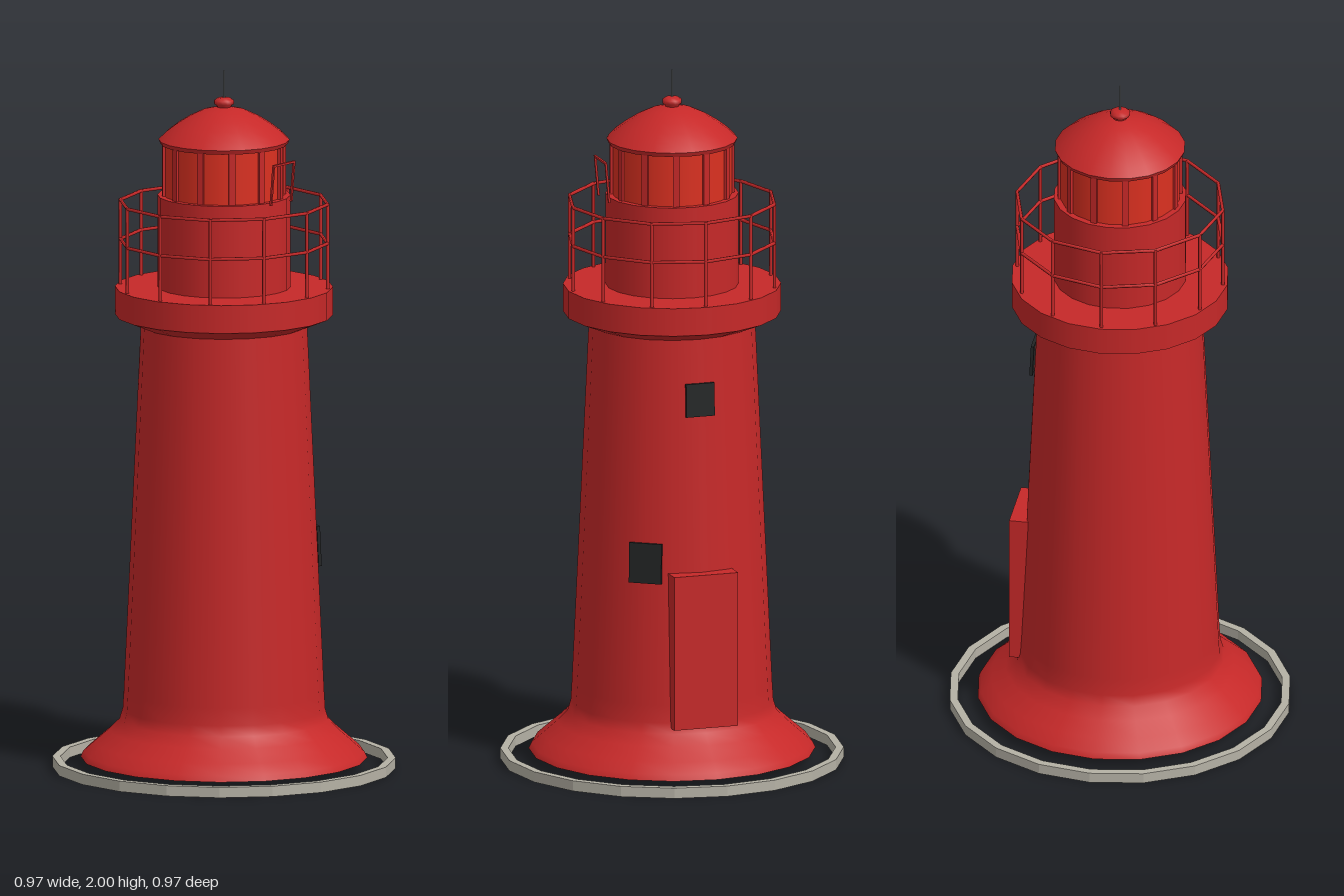
import * as THREE from 'three';

const SIDES = 20;

export function createModel() {
  const model = new THREE.Group();
  const mat = (name, color, side = THREE.FrontSide) => {
    const m = new THREE.MeshStandardMaterial({ color, side });
    m.name = name;
    return m;
  };
  const red = mat('red paint', 0xc62828, THREE.DoubleSide);
  const pane = mat('lantern glass', 0xdb3020);
  const dark = mat('window dark', 0x222424);
  const stone = mat('stone grey', 0xb5b1a5);
  const metal = mat('metal grey', 0x80858a);

  const add = (name, geo, material, parent = model) => {
    const mesh = new THREE.Mesh(geo, material);
    mesh.name = name;
    parent.add(mesh);
    return mesh;
  };
  const lathe = (pts, n = SIDES) =>
    new THREE.LatheGeometry(pts.map(([r, y]) => new THREE.Vector2(r, y)), n);
  const drum = (name, rTop, rBottom, y0, y1, material, n = SIDES, open = false) => {
    const mesh = add(name, new THREE.CylinderGeometry(rTop, rBottom, y1 - y0, n, 1, open), material);
    mesh.position.y = (y0 + y1) / 2;
    return mesh;
  };
  const group = (name) => {
    const g = new THREE.Group();
    g.name = name;
    model.add(g);
    return g;
  };

  // Ground ring, a square section swept round
  const ring = lathe([[0.462, 0], [0.485, 0], [0.485, 0.03], [0.462, 0.03], [0.462, 0]]).toNonIndexed();
  ring.computeVertexNormals();
  add('groundRing', ring, stone);

  // Tapered tower with a flared foot, open below
  add('tower', lathe([
    [0.405, 0.03], [0.397, 0.047], [0.365, 0.075], [0.325, 0.11],
    [0.295, 0.14], [0.286, 0.17], [0.283, 0.22], [0.235, 1.27],
  ]), red);

  // Gallery deck
  drum('galleryUnderside', 0.308, 0.235, 1.27, 1.3, red, SIDES, true);
  drum('galleryDeck', 0.308, 0.308, 1.3, 1.38, red);

  // Gallery railing: twelve posts and two rails
  const railing = group('railing');
  const railR = 0.295;
  for (let i = 0; i < 12; i++) {
    const a = (i / 12) * Math.PI * 2;
    const post = add('railPost', new THREE.CylinderGeometry(0.005, 0.005, 0.245, 6), red, railing);
    post.position.set(railR * Math.sin(a), 1.5025, railR * Math.cos(a));
  }
  for (const y of [1.51, 1.622]) {
    const rail = add('rail', new THREE.TorusGeometry(railR, 0.005, 6, 12), red, railing);
    rail.rotation.x = Math.PI / 2;
    rail.position.y = y;
  }

  // Lantern room
  drum('lanternBase', 0.188, 0.188, 1.38, 1.643, red);
  drum('lanternGlass', 0.17, 0.17, 1.643, 1.795, pane);
  const bars = group('lanternBars');
  for (let i = 0; i < 12; i++) {
    const a = ((i + 0.5) / 12) * Math.PI * 2;
    const bar = add('lanternBar', new THREE.BoxGeometry(0.018, 0.152, 0.014), red, bars);
    bar.position.set(0.169 * Math.sin(a), 1.719, 0.169 * Math.cos(a));
    bar.rotation.y = a;
  }

  // Domed roof, knob and rod
  drum('roofEave', 0.185, 0.18, 1.79, 1.802, red);
  add('roofDome', lathe([
    [0.185, 1.802], [0.165, 1.822], [0.135, 1.845], [0.1, 1.867], [0.06, 1.886], [0.02, 1.895], [0, 1.896],
  ]), red);
  add('roofKnob', lathe([
    [0.018, 1.885], [0.02, 1.898], [0.028, 1.904], [0.028, 1.914], [0.018, 1.921], [0, 1.922],
  ], 12), red);
  drum('rod', 0.0025, 0.0025, 1.92, 2, metal, 6);

  // Grab handle leaning outward beside the lantern
  const handle = group('handle');
  for (const z of [-0.047, 0.047]) {
    const leg = add('handleLeg', new THREE.BoxGeometry(0.006, 0.115, 0.006), red, handle);
    leg.position.set(0, 0.0575, z);
  }
  add('handleBar', new THREE.BoxGeometry(0.006, 0.006, 0.1), red, handle).position.y = 0.115;
  handle.position.set(0.203, 1.64, 0);
  handle.rotation.z = -0.09;

  // Back door
  add('door', new THREE.BoxGeometry(0.19, 0.445, 0.06), red).position.set(0, 0.378, -0.271);

  // Windows: thin plates leaning with the wall
  const window = (angle, y, w, h) => {
    const holder = group('window');
    holder.rotation.y = angle;
    const plate = add('windowPlate', new THREE.BoxGeometry(w, h, 0.009), dark, holder);
    plate.position.set(0, y, 0.283 - (y - 0.22) * 0.0457 + 0.003);
    plate.rotation.x = -0.0457;
  };
  window(Math.PI, 1.097, 0.084, 0.095);
  window(Math.PI / 2 + THREE.MathUtils.degToRad(55), 0.628, 0.095, 0.115);

  return model;
}
